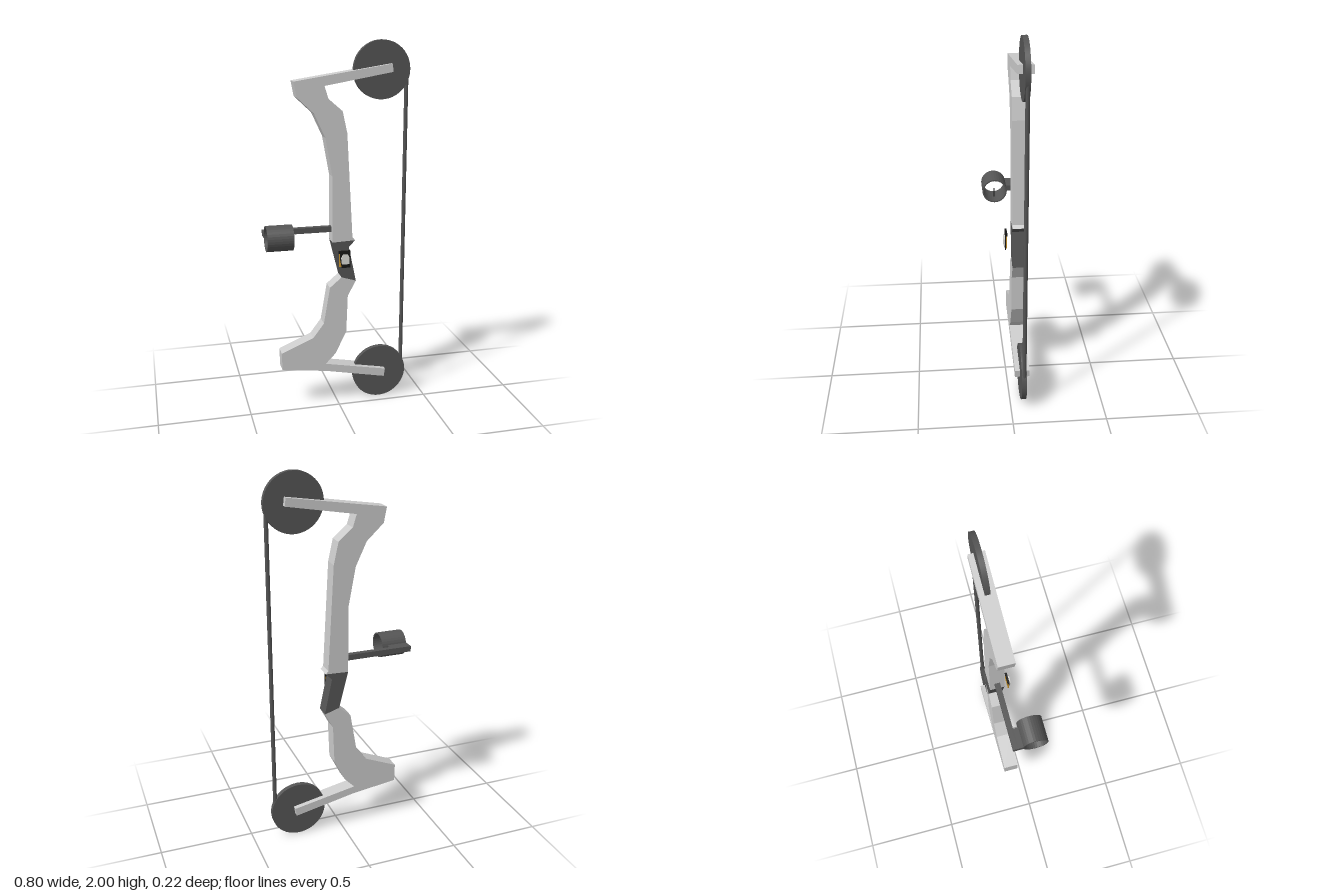
import * as THREE from 'three';

const mat = (name, color, extra = {}) => {
  const m = new THREE.MeshStandardMaterial({ color, ...extra });
  m.name = name;
  return m;
};

export function createModel() {
  const silver = mat('silver', 0xcccccc);
  const dark = mat('dark grey', 0x555555);
  const black = mat('black', 0x161616);
  const gold = mat('gold', 0xc8922a);
  const white = mat('off white', 0xdcdcd8);

  const bow = new THREE.Group();
  bow.name = 'compoundBow';

  const add = (name, geometry, material, x = 0, y = 0, z = 0, parent = bow) => {
    const mesh = new THREE.Mesh(geometry, material);
    mesh.name = name;
    mesh.position.set(x, y, z);
    parent.add(mesh);
    return mesh;
  };
  // Flat outline extruded from z0 to z1
  const slab = (name, points, z0, z1, material, parent = bow) => {
    const shape = new THREE.Shape(points.map(([x, y]) => new THREE.Vector2(x, y)));
    const g = new THREE.ExtrudeGeometry(shape, { depth: z1 - z0, bevelEnabled: false });
    return add(name, g, material, 0, 0, z0, parent);
  };
  // Box given by its two corners
  const box = (name, [x0, y0, z0], [x1, y1, z1], material, parent = bow) =>
    add(name, new THREE.BoxGeometry(x1 - x0, y1 - y0, z1 - z0), material,
      (x0 + x1) / 2, (y0 + y1) / 2, (z0 + z1) / 2, parent);

  // Riser with its limbs, and the grip between them
  const back = -0.11, front = -0.03;
  slab('upperLimb', [
    [-0.03, 0.945], [0.095, 0.95], [0.08, 0.965], [0.05, 1.53], [0.025, 1.645], [-0.05, 1.71],
    [-0.07, 1.775], [0.295, 1.838], [0.29, 1.88], [-0.23, 1.80], [-0.215, 1.72],
    [-0.125, 1.635], [-0.067, 1.51], [-0.03, 1.305],
  ], back, front, silver);
  slab('grip', [
    [-0.03, 0.945], [0.02, 0.745], [0.1, 0.72], [0.06, 0.915], [0.095, 0.95],
  ], back, front, dark);
  slab('lowerLimb', [
    [0.02, 0.745], [-0.045, 0.69], [-0.08, 0.485], [-0.14, 0.405], [-0.317, 0.33], [-0.315, 0.232],
    [-0.07, 0.2], [0.268, 0.13], [0.275, 0.175], [-0.07, 0.243], [-0.015, 0.30],
    [0.047, 0.425], [0.055, 0.635], [0.1, 0.72],
  ], back, front, silver);

  // Cam wheels and the string between them
  for (const [name, x, y] of [['upperCam', 0.242, 1.848], ['lowerCam', 0.247, 0.153]]) {
    const wheel = new THREE.CylinderGeometry(0.152, 0.152, 0.026, 48).rotateX(Math.PI / 2);
    add(name, wheel, dark, x, y, -0.07);
  }
  add('string', new THREE.CylinderGeometry(0.011, 0.011, 1.66, 8), dark, 0.378, 1.0, -0.07);

  // Sight: arm, bracket, open ring lying along x, and aiming pin
  const sight = new THREE.Group();
  sight.name = 'sight';
  bow.add(sight);
  box('sightArm', [-0.402, 0.998, -0.084], [-0.02, 1.028, -0.055], dark, sight);
  box('sightBracket', [-0.402, 0.998, -0.056], [-0.292, 1.028, -0.028], dark, sight);
  const ring = new THREE.Shape().absarc(0, 0, 0.068, 0, Math.PI * 2, false);
  ring.holes.push(new THREE.Path().absarc(0, 0, 0.061, 0, Math.PI * 2, true));
  const tube = new THREE.ExtrudeGeometry(ring, { depth: 0.138, bevelEnabled: false, curveSegments: 16 });
  tube.translate(0, 0, -0.069).rotateY(Math.PI / 2);
  add('sightRing', tube, dark, -0.331, 1.01, 0.038, sight);
  box('aimingPin', [-0.334, 0.945, 0.035], [-0.328, 0.998, 0.041], black, sight);

  // Arrow rest beside the grip
  const rest = new THREE.Group();
  rest.name = 'arrowRest';
  bow.add(rest);
  box('restBack', [0, 0.815, -0.004], [0.056, 0.892, 0.003], gold, rest);
  box('restTop', [-0.004, 0.89, -0.006], [0.06, 0.904, 0.005], black, rest);
  slab('restFrame', [
    [0.012, 0.81], [0.061, 0.81], [0.061, 0.892], [0.002, 0.892], [0.002, 0.865],
  ], 0.001, 0.006, black, rest);
  slab('restPlate', [
    [0.012, 0.832], [0.052, 0.832], [0.052, 0.868], [0.045, 0.885], [0.018, 0.885], [0.008, 0.865],
  ], 0.006, 0.014, white, rest);

  return bow;
}
